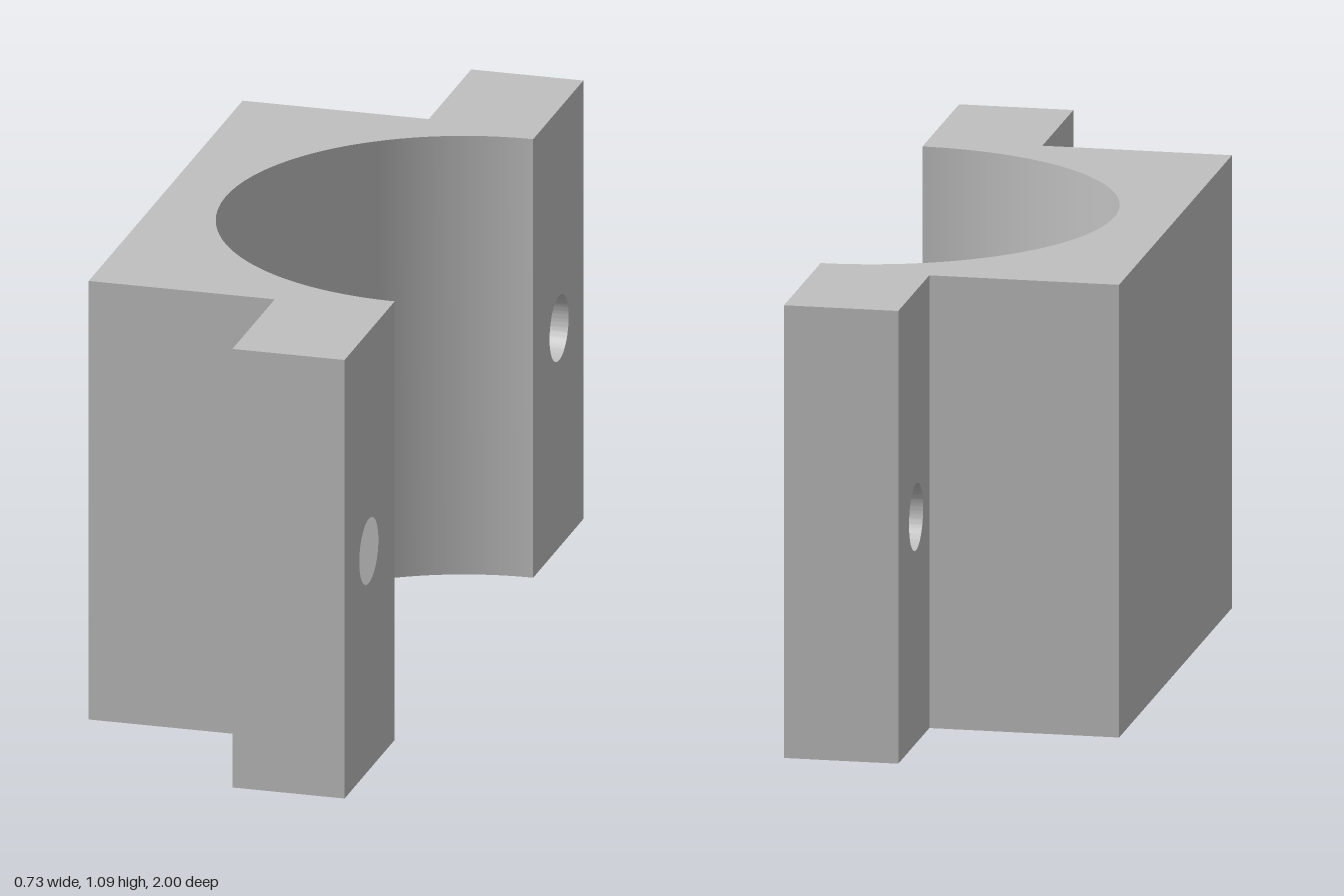
import * as THREE from 'three';
import { toCreasedNormals } from 'three/addons/utils/BufferGeometryUtils.js';

const HEIGHT = 1.09;
const HALF_X = 0.363;     // half depth of the whole clamp
const BLOCK_Z = 0.645;    // half length of the central block
const BORE = 0.58;        // radius of the half-round seat
const FLANGE_X = 0.09;    // rear face of the bolt flanges

export function createModel() {
  const group = new THREE.Group();
  group.name = 'halfClamp';
  const grey = new THREE.MeshStandardMaterial({ color: 0xc0c0c0 });
  grey.name = 'grey metal';

  const add = (name, shape, depth, place) => {
    const solid = new THREE.ExtrudeGeometry(shape, { depth, bevelEnabled: false, curveSegments: 64 });
    place(solid);
    const mesh = new THREE.Mesh(toCreasedNormals(solid, 0.5), grey);
    mesh.name = name;
    group.add(mesh);
  };

  // Central block with the half-round seat, extruded upward
  const block = new THREE.Shape();
  block.moveTo(HALF_X, BLOCK_Z);
  block.lineTo(HALF_X, BORE);
  block.absarc(HALF_X, 0, BORE, Math.PI / 2, Math.PI * 1.5, false);
  block.lineTo(HALF_X, -BLOCK_Z);
  block.lineTo(-HALF_X, -BLOCK_Z);
  block.lineTo(-HALF_X, BLOCK_Z);
  block.closePath();
  add('saddleBlock', block, HEIGHT, (g) => g.rotateX(-Math.PI / 2));

  // Bolt flanges with a through hole, extruded along x
  for (const side of [-1, 1]) {
    const flange = new THREE.Shape();
    flange.moveTo(side * BLOCK_Z, 0);
    flange.lineTo(side, 0);
    flange.lineTo(side, HEIGHT);
    flange.lineTo(side * BLOCK_Z, HEIGHT);
    flange.closePath();
    const hole = new THREE.Path();
    hole.absarc(side * 0.797, HEIGHT / 2, 0.08, 0, Math.PI * 2, true);
    flange.holes.push(hole);
    add(side < 0 ? 'frontFlange' : 'backFlange', flange, HALF_X - FLANGE_X,
      (g) => g.rotateY(Math.PI / 2).translate(FLANGE_X, 0, 0));
  }
  return group;
}
